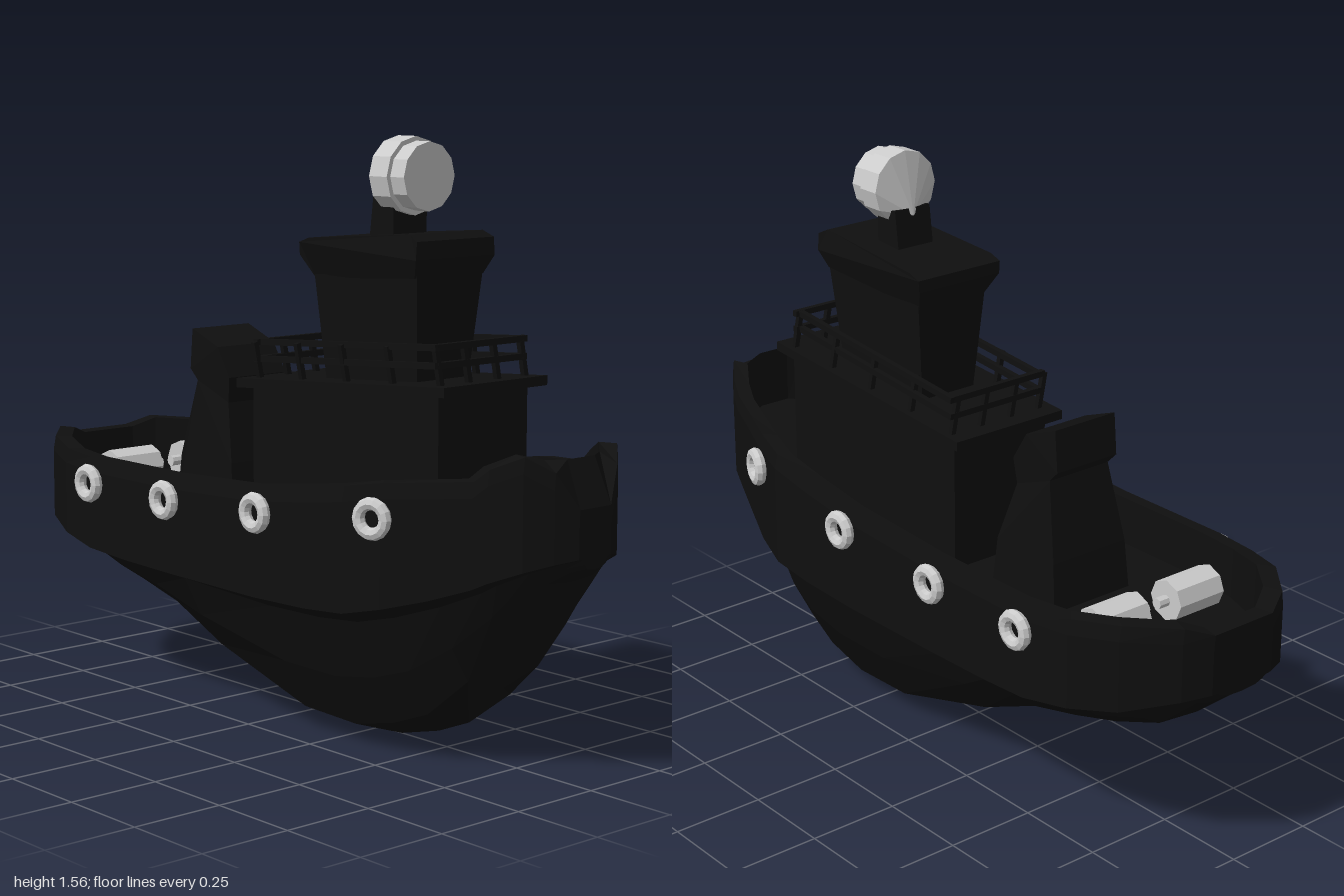
import * as THREE from 'three';

const dark = new THREE.MeshStandardMaterial({ color: 0x0f0f0f, flatShading: true, side: THREE.DoubleSide });
const grey = new THREE.MeshStandardMaterial({ color: 0xcccccc, flatShading: true });

function mesh(name, geometry, material, parent) {
  const m = new THREE.Mesh(geometry, material);
  m.name = name;
  parent.add(m);
  return m;
}

// Side profile in x/y, given a half width in z that may vary with height
function prism(points, half) {
  const shape = new THREE.Shape(points.map(p => new THREE.Vector2(...p)));
  const g = new THREE.ExtrudeGeometry(shape, { depth: 1, bevelEnabled: false });
  const pos = g.attributes.position;
  for (let i = 0; i < pos.count; i++) pos.setZ(i, (pos.getZ(i) - 0.5) * 2 * half(pos.getY(i)));
  g.computeVertexNormals();
  return g;
}

// Linear interpolation through [y, value] stops
const ramp = stops => y => {
  let k = 1;
  while (k < stops.length - 1 && y > stops[k][0]) k++;
  const [a, b] = [stops[k - 1], stops[k]];
  return THREE.MathUtils.lerp(a[1], b[1], THREE.MathUtils.clamp((y - a[0]) / (b[0] - a[0]), 0, 1));
};

// Hull from cross-sections, with hollow deck and overhanging upper band
function hullGeometry() {
  // x, half width, sheer, rubbing edge, keel
  const stations = [
    [-1, 0.1, 0.66, 0.50, 0.48], [-0.965, 0.17, 0.685, 0.49, 0.455], [-0.85, 0.27, 0.68, 0.45, 0.36],
    [-0.72, 0.32, 0.665, 0.425, 0.315], [-0.58, 0.342, 0.66, 0.405, 0.275], [-0.42, 0.342, 0.66, 0.395, 0.23],
    [-0.22, 0.342, 0.66, 0.39, 0.13], [0.13, 0.342, 0.675, 0.385, 0.012], [0.33, 0.342, 0.70, 0.39, 0.004],
    [0.47, 0.338, 0.72, 0.40, 0.04], [0.58, 0.31, 0.738, 0.425, 0.085], [0.7, 0.265, 0.75, 0.46, 0.2],
    [0.81, 0.226, 0.762, 0.50, 0.345], [0.85, 0.213, 0.795, 0.52, 0.405], [0.92, 0.165, 0.828, 0.55, 0.505],
    [0.97, 0.11, 0.79, 0.57, 0.54], [1, 0.055, 0.70, 0.58, 0.55]];
  const rows = stations.map(([x, w, sheer, edge, keel]) => {
    const deck = 0.53 + 0.12 * Math.max(0, x) ** 2, h = edge - keel;
    const inner = x > 0.96 ? 0.815 : sheer;
    return [
      [x, keel, 0], [x, keel + 0.14 * h, 0.47 * w], [x, keel + 0.5 * h, 0.68 * w],
      [x, keel + 0.92 * h, 0.84 * w], [x, edge, w], [x, sheer - 0.04, w], [x, sheer, w * 0.97],
      [x * 0.95, inner, w * 0.87], [x * 0.95, deck, w * 0.86], [x * 0.95, deck, 0]];
  });
  const out = [];
  const quad = (a, b, c, d) => out.push(...a, ...b, ...c, ...a, ...c, ...d);
  const flip = p => [p[0], p[1], -p[2]];
  for (let s = 0; s < rows.length - 1; s++) {
    for (let i = 0; i < 9; i++) {
      const [a, b, c, d] = [rows[s][i], rows[s + 1][i], rows[s + 1][i + 1], rows[s][i + 1]];
      quad(a, b, c, d);
      quad(flip(d), flip(c), flip(b), flip(a));
    }
  }
  // Bow and stern ends
  const [stern, bow] = [rows[0], rows[rows.length - 1]];
  for (let i = 0; i < 9; i++) {
    quad(flip(stern[i]), stern[i], stern[i + 1], flip(stern[i + 1]));
    quad(bow[i], flip(bow[i]), flip(bow[i + 1]), bow[i + 1]);
  }
  const g = new THREE.BufferGeometry();
  g.setAttribute('position', new THREE.Float32BufferAttribute(out, 3));
  g.computeVertexNormals();
  return g;
}

// Square bar between two points
function bar(name, a, b, t, parent) {
  const [p, q] = [new THREE.Vector3(...a), new THREE.Vector3(...b)];
  const m = mesh(name, new THREE.BoxGeometry(t, t, p.distanceTo(q) + t), dark, parent);
  m.position.copy(p).add(q).multiplyScalar(0.5);
  m.lookAt(q);
}

export function createModel() {
  const boat = new THREE.Group();
  boat.name = 'tugboat';
  mesh('hull', hullGeometry(), dark, boat);

  const upper = new THREE.Group();
  upper.name = 'superstructure';
  upper.position.z = -0.01;
  boat.add(upper);

  // Cabin and sloping upper deck
  const floor = x => 0.91 + 0.07 * x;
  mesh('cabin', prism([[-0.1, 0.5], [0.61, 0.5], [0.61, floor(0.61)], [-0.1, floor(-0.1)]], () => 0.155), dark, upper);
  mesh('upperDeck', prism([[-0.14, floor(-0.14) - 0.015], [0.655, floor(0.655) - 0.015],
    [0.655, floor(0.655) + 0.01], [-0.14, floor(-0.14) + 0.01]], () => 0.18), dark, upper);

  // Railing
  const rail = new THREE.Group();
  rail.name = 'railing';
  upper.add(rail);
  const [x0, x1, zr] = [-0.09, 0.6, 0.147];
  for (const h of [0.06, 0.105]) {
    for (const z of [-zr, zr]) bar('sideRail', [x0, floor(x0) + h, z], [x1, floor(x1) + h, z], 0.016, rail);
    for (const x of [x0, x1]) bar('endRail', [x, floor(x) + h, -zr], [x, floor(x) + h, zr], 0.016, rail);
  }
  const post = (x, z) => bar('railPost', [x, floor(x), z], [x, floor(x) + 0.1, z], 0.014, rail);
  for (let i = 0; i < 5; i++) for (const z of [-zr, zr]) post(THREE.MathUtils.lerp(x0, x1, i / 4), z);
  for (const x of [x0, x1]) for (const z of [-0.05, 0.05]) post(x, z);

  // Wheelhouse with flared walls and chamfered roof
  mesh('wheelhouse', prism([[0.12, 0.9], [0.46, 0.9], [0.488, 1.23], [0.1, 1.2]],
    ramp([[0.9, 0.085], [1.23, 0.115]])), dark, upper);
  mesh('roof', prism([[0.1, 1.19], [0.484, 1.215], [0.507, 1.262], [0.507, 1.308], [0.475, 1.324],
    [0.105, 1.296], [0.067, 1.283], [0.067, 1.25]],
  ramp([[1.19, 0.108], [1.255, 0.137], [1.3, 0.137], [1.325, 0.125]])), dark, upper);

  // Searchlight on its post
  mesh('lampPost', prism([[0.25, 1.29], [0.34, 1.29], [0.34, 1.4], [0.265, 1.41]], () => 0.058), dark, upper);
  const lamp = new THREE.Group();
  lamp.name = 'searchlight';
  lamp.position.set(0.327, 1.46, 0);
  upper.add(lamp);
  for (const [name, r, x, len] of [['lampBody', 0.1, 0, 0.066], ['lampLens', 0.088, 0.058, 0.05]]) {
    mesh(name, new THREE.CylinderGeometry(r, r, len, 12).rotateZ(Math.PI / 2), grey, lamp).position.x = x;
  }
  const cone = new THREE.ConeGeometry(0.1, 0.034, 12).rotateZ(Math.PI / 2);
  const cp = cone.attributes.position;
  for (let i = 0; i < cp.count; i++) if (cp.getX(i) < 0) cp.setY(i, cp.getY(i) - 0.07);
  cone.computeVertexNormals();
  mesh('lampBack', cone, grey, lamp).position.x = -0.05;

  // Funnel
  mesh('funnel', prism([[-0.47, 0.5], [-0.22, 0.5], [-0.235, 0.66], [-0.28, 0.82], [-0.27, 0.89],
    [-0.32, 0.97], [-0.43, 1.012], [-0.44, 0.9], [-0.41, 0.87], [-0.455, 0.66]],
  ramp([[0.5, 0.13], [0.66, 0.122], [0.82, 0.095], [0.89, 0.1], [1.01, 0.1]])), dark, upper);

  // Winch rollers on the aft deck
  for (const z of [-0.125, 0.125]) {
    const winch = new THREE.Group();
    winch.name = 'winch';
    winch.position.set(-0.688, 0.595, z);
    upper.add(winch);
    mesh('drum', new THREE.CylinderGeometry(0.055, 0.055, 0.15, 8).rotateX(Math.PI / 2), grey, winch);
    mesh('axle', new THREE.CylinderGeometry(0.015, 0.015, 0.215, 8).rotateX(Math.PI / 2), grey, winch);
  }

  // Tyre fenders along both sides
  for (const side of [-1, 1]) {
    for (const [x, y, z, turn] of [[-0.565, 0.59, 0.354, 0], [-0.225, 0.59, 0.354, 0],
      [0.155, 0.61, 0.354, 0], [0.572, 0.652, 0.33, 0.28]]) {
      const tyre = mesh('tyreFender', new THREE.TorusGeometry(0.038, 0.0165, 8, 14), grey, boat);
      tyre.position.set(x, y, z * side);
      tyre.rotation.y = turn * side;
    }
  }
  return boat;
}
